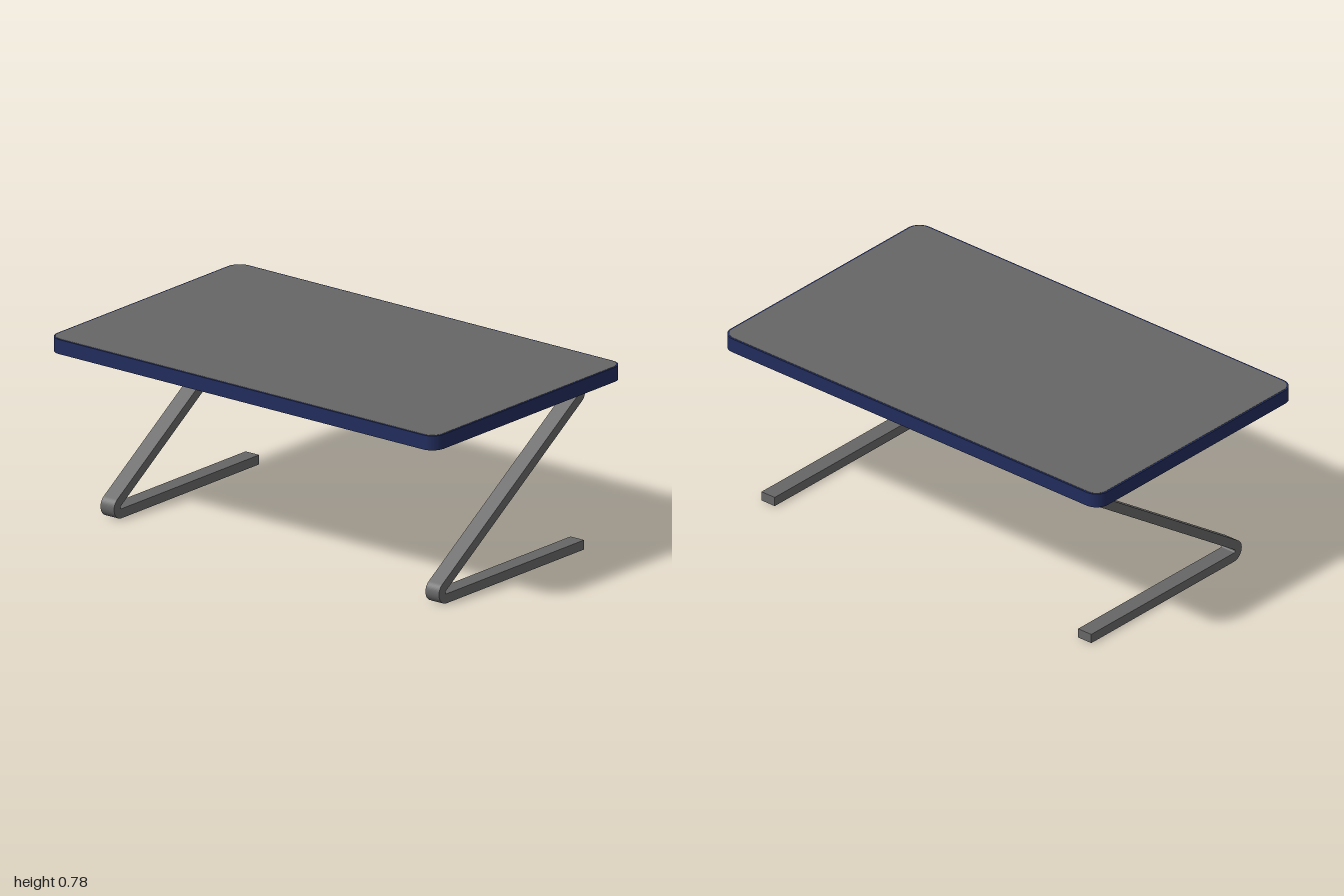
import * as THREE from 'three';

const steel = new THREE.MeshStandardMaterial({ color: 0x666666 });
steel.name = 'grey';
const navy = new THREE.MeshStandardMaterial({ color: 0x212c5c });
navy.name = 'navy';

// Rounded rectangle slab lying flat, from y = bottom upwards
function slab(name, w, d, radius, bottom, height, material) {
  const x = w / 2, z = d / 2, r = radius;
  const s = new THREE.Shape();
  s.absarc(x - r, z - r, r, 0, Math.PI / 2);
  s.absarc(-x + r, z - r, r, Math.PI / 2, Math.PI);
  s.absarc(-x + r, -z + r, r, Math.PI, Math.PI * 1.5);
  s.absarc(x - r, -z + r, r, Math.PI * 1.5, Math.PI * 2);
  s.closePath();
  const g = new THREE.ExtrudeGeometry(s, { depth: height, bevelEnabled: false, curveSegments: 10 });
  g.rotateX(-Math.PI / 2).translate(0, bottom, 0);
  const m = new THREE.Mesh(g, material);
  m.name = name;
  return m;
}

// Z-shaped bar: foot, diagonal and top rail joined by round bends
function legGeometry(width) {
  const R = 0.047, r = 0.007, top = 0.716, H = Math.PI / 2;
  const a = new THREE.Vector2(-0.39, R), b = new THREE.Vector2(0.44, top - R);
  const d = b.clone().sub(a);
  const t = d.angle() - Math.asin((R + r) / d.length()); // slope of the diagonal
  const s = new THREE.Shape();
  s.moveTo(0.48, 0);
  s.lineTo(a.x, 0);
  s.absarc(a.x, a.y, R, 3 * H, t + H, true);
  s.absarc(b.x, b.y, r, t - H, H, false);
  s.absarc(-0.395, top, 0.04, 3 * H, 2 * H, true);
  s.lineTo(b.x, top);
  s.absarc(b.x, b.y, R, H, t - H, true);
  s.absarc(a.x, a.y, r, t + H, 3 * H, false);
  s.lineTo(0.48, R - r);
  s.closePath();
  const g = new THREE.ExtrudeGeometry(s, { depth: width, bevelEnabled: false, curveSegments: 12 });
  return g.translate(0, 0, -width / 2);
}

export function createModel() {
  const table = new THREE.Group();
  table.name = 'table';

  // Top with a thin inset surface
  table.add(slab('tabletop', 1.2, 2, 0.06, 0.716, 0.061, navy));
  table.add(slab('tabletopSurface', 1.184, 1.984, 0.052, 0.777, 0.001, steel));

  // Two bent legs
  const geometry = legGeometry(0.07);
  for (const [name, z] of [['frontLeg', 0.855], ['backLeg', -0.825]]) {
    const leg = new THREE.Mesh(geometry, steel);
    leg.name = name;
    leg.position.z = z;
    table.add(leg);
  }

  // Rail joining the legs under the top
  const rail = new THREE.Mesh(new THREE.BoxGeometry(0.07, 0.034, 1.61), steel);
  rail.name = 'crossRail';
  rail.position.set(0.02, 0.699, 0.015);
  table.add(rail);

  return table;
}
